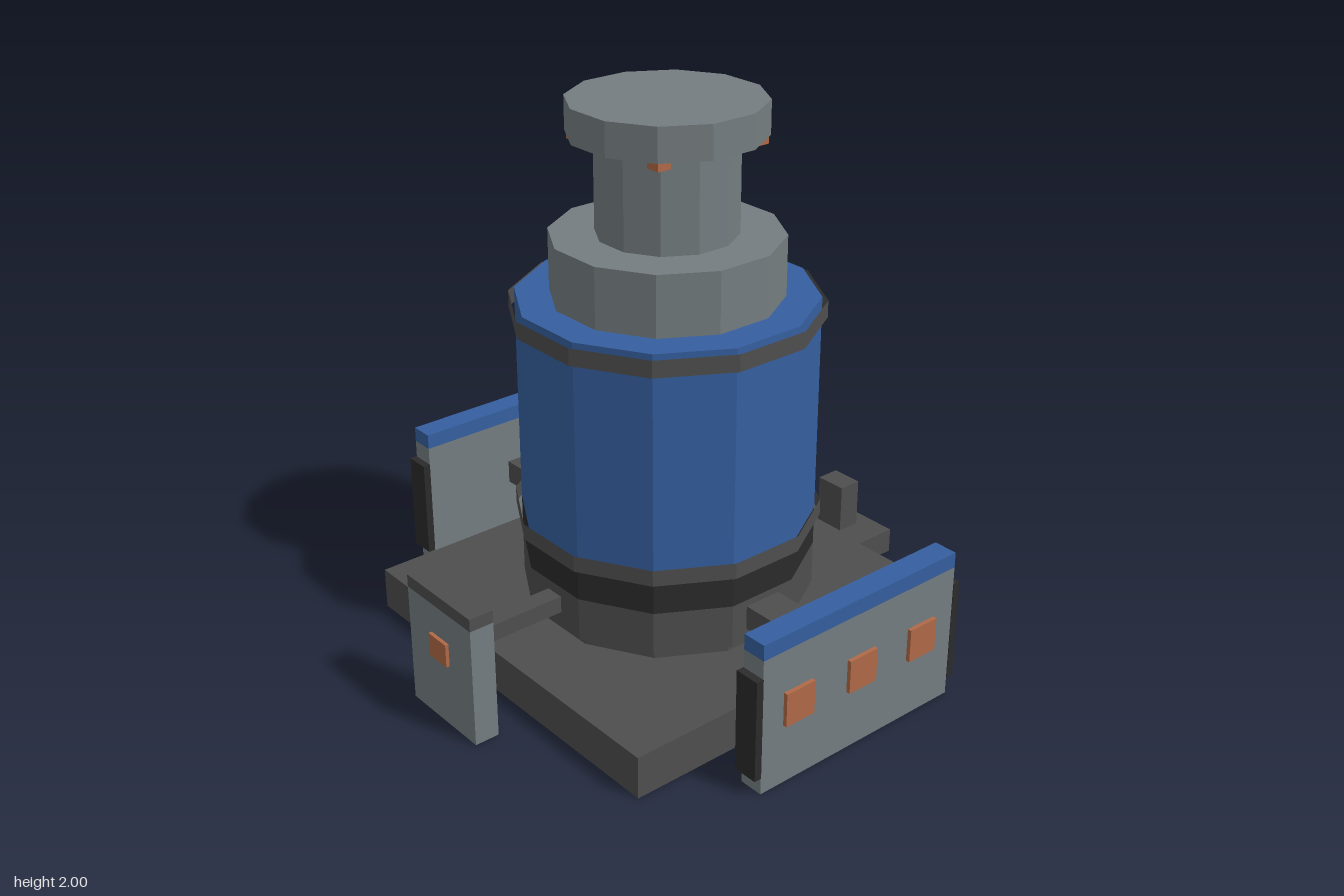
import * as THREE from 'three';

export function createModel() {
  const model = new THREE.Group();
  const mat = (name, color) => new THREE.MeshStandardMaterial({
    name, color, flatShading: true, side: THREE.DoubleSide });
  const steel = mat('steel grey', 0x757d80);
  const iron = mat('iron grey', 0x4e4e4e);
  const black = mat('black', 0x2b2b2b);
  const blue = mat('blue', 0x355f9f);
  const copper = mat('copper', 0xb06a47);

  function add(parent, name, geometry, material) {
    const mesh = new THREE.Mesh(geometry, material);
    mesh.name = name;
    parent.add(mesh);
    return mesh;
  }

  // Box given by its limits; hollow ones have no bottom face
  function box(parent, name, material, [x0, x1], [y0, y1], [z0, z1], hollow = false) {
    const g = new THREE.BoxGeometry(x1 - x0, y1 - y0, z1 - z0);
    g.translate((x0 + x1) / 2, (y0 + y1) / 2, (z0 + z1) / 2);
    if (hollow) {
      const index = Array.from(g.index.array);
      index.splice(18, 6);
      g.setIndex(index);
      g.clearGroups();
    }
    return add(parent, name, g, material);
  }

  // Twelve-sided drum with flats facing the axes; r is measured to the flats
  function drum(name, material, r, y0, y1, open = false) {
    const R = r / Math.cos(Math.PI / 12);
    const g = new THREE.CylinderGeometry(R, R, y1 - y0, 12, 1, open);
    g.rotateY(Math.PI / 12);
    g.translate(0, (y0 + y1) / 2, 0);
    return add(model, name, g, material);
  }

  // Base plate with a step and post on its left
  box(model, 'basePlate', iron, [-0.75, 0.75], [0, 0.157], [-0.75, 0.75], true);
  box(model, 'step', iron, [0.75, 1], [0, 0.097], [-0.185, 0.185], true);
  box(model, 'post', iron, [0.842, 0.934], [0.097, 0.285], [-0.062, 0.062]);

  // Central tower
  drum('foot', iron, 0.48, 0.157, 0.193);
  drum('lowerDrum', iron, 0.512, 0.193, 0.355);
  drum('darkDrum', black, 0.512, 0.355, 0.5);
  drum('tank', blue, 0.512, 0.5, 1.315);
  drum('lowerBand', iron, 0.532, 0.475, 0.535, true);
  drum('upperBand', iron, 0.532, 1.24, 1.302, true);
  drum('collar', steel, 0.394, 1.315, 1.535);
  drum('neck', steel, 0.239, 1.535, 1.88);
  drum('cap', steel, 0.33, 1.88, 2);

  // Small lamps under the cap
  for (const sx of [-1, 1]) for (const sz of [-1, 1]) {
    const [x, z] = [sx * 0.21, sz * 0.21];
    box(model, 'capLamp', copper, [x - 0.027, x + 0.027], [1.85, 1.88], [z - 0.027, z + 0.027]);
  }

  // Wide panels on arms at front and back
  for (const turn of [0, Math.PI]) {
    const arm = new THREE.Group();
    arm.name = turn ? 'backPanel' : 'frontPanel';
    arm.rotation.y = turn;
    model.add(arm);
    box(arm, 'arm', iron, [-0.073, 0.073], [0.24, 0.33], [0.49, 0.897]);
    box(arm, 'panel', steel, [-0.438, 0.438], [0, 0.505], [0.895, 0.985], true);
    box(arm, 'panelTop', blue, [-0.438, 0.438], [0.505, 0.562], [0.895, 0.985]);
    for (const s of [-1, 1]) {
      const edges = [s * 0.438, s * 0.466].sort((a, b) => a - b);
      box(arm, 'panelEdge', black, edges, [0.063, 0.438], [0.893, 0.987]);
    }
    for (const x of [-0.284, 0, 0.284])
      box(arm, 'window', copper, [x - 0.062, x + 0.062], [0.225, 0.349], [0.984, 1]);
  }

  // Narrow panel on the right
  const side = new THREE.Group();
  side.name = 'sidePanel';
  model.add(side);
  box(side, 'sideArm', iron, [-0.897, -0.49], [0.255, 0.318], [-0.036, 0.036]);
  box(side, 'sidePlate', steel, [-0.987, -0.895], [0, 0.443], [-0.185, 0.185], true);
  box(side, 'sidePlateTop', iron, [-0.987, -0.895], [0.443, 0.49], [-0.185, 0.185]);
  box(side, 'sideWindow', copper, [-1, -0.986], [0.243, 0.33], [-0.05, 0.05]);

  return model;
}
